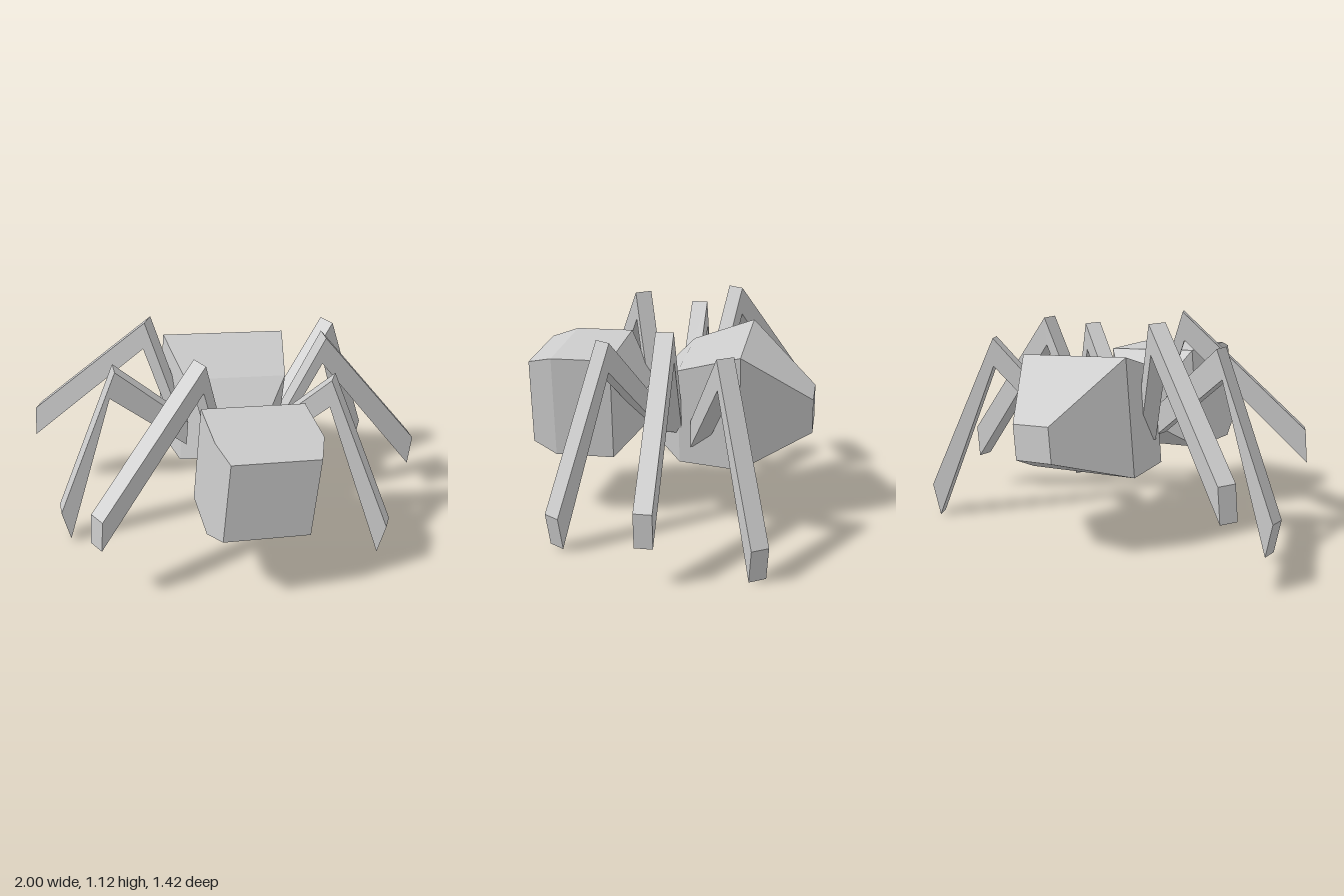
import * as THREE from 'three';

const material = new THREE.MeshStandardMaterial({
  color: 0xcccccc, flatShading: true, side: THREE.DoubleSide,
});

// Closed box-like hull through rectangles [z, halfWidth, bottom, top], back to front
function loftRectangles(sections) {
  const points = [];
  const index = [];
  for (const [z, w, lo, hi] of sections) {
    points.push(-w, lo, z, w, lo, z, w, hi, z, -w, hi, z);
  }
  const last = (sections.length - 1) * 4;
  for (let s = 0; s < last; s += 4) {
    for (let i = 0; i < 4; i++) {
      const j = (i + 1) % 4;
      const a = s + i, b = s + j, c = s + 4 + j, d = s + 4 + i;
      index.push(a, b, c, a, c, d);
    }
  }
  index.push(0, 2, 1, 0, 3, 2);
  index.push(last, last + 1, last + 2, last, last + 2, last + 3);
  const indexed = new THREE.BufferGeometry();
  indexed.setAttribute('position', new THREE.Float32BufferAttribute(points, 3));
  indexed.setIndex(index);
  const geometry = indexed.toNonIndexed();
  geometry.computeVertexNormals();
  return geometry;
}

// Bent square leg: [distance, height] of the top edge at root, knee and foot
function legGeometry(root, knee, foot) {
  const width = 0.086;
  const tilt = (0.49 - knee[1]) * 0.35; // lower knees swing the foot inwards
  const outline = [
    root, knee, foot,
    [foot[0] - tilt, foot[1] - 0.168],
    [knee[0] + tilt * 0.4, knee[1] - 0.145],
    [root[0], root[1] - 0.135],
  ];
  const shape = new THREE.Shape(outline.map(([r, y]) => new THREE.Vector2(r, y)));
  const geometry = new THREE.ExtrudeGeometry(shape, { depth: width, bevelEnabled: false });
  geometry.translate(0, 0, -width / 2);
  return geometry;
}

export function createModel() {
  const model = new THREE.Group();
  model.name = 'spider';

  // Whole body leans slightly to its left about its centre
  const body = new THREE.Group();
  body.name = 'leaningBody';
  body.position.y = 0.6;
  body.rotation.z = -0.09;
  model.add(body);

  const add = (name, geometry) => {
    const mesh = new THREE.Mesh(geometry, material);
    mesh.name = name;
    body.add(mesh);
    return mesh;
  };

  // Head: chamfered front, narrowing to the waist
  add('head', loftRectangles([
    [0.14, 0.11, -0.107, 0.068],
    [0.28, 0.26, -0.237, 0.278],
    [0.58, 0.26, -0.237, 0.278],
    [0.71, 0.215, -0.19, 0.242],
  ]));

  // Abdomen: swells towards the back, then tapers to a small end
  add('abdomen', loftRectangles([
    [-0.71, 0.11, -0.107, 0.068],
    [-0.37, 0.323, -0.237, 0.342],
    [-0.06, 0.262, -0.237, 0.245],
    [0.14, 0.11, -0.107, 0.068],
  ]));

  // Legs: name, yaw in degrees, z of the hip line, root, knee, foot
  const legs = [
    ['leftFrontLeg', -30, 0.055, [0.15, 0.07], [0.447, 0.42], [0.842, -0.347]],
    ['rightFrontLeg', 210, 0.06, [0.15, 0.07], [0.306, 0.49], [0.895, -0.15]],
    ['leftMiddleLeg', 0, -0.03, [0.25, 0.05], [0.428, 0.49], [1.02, -0.144]],
    ['rightMiddleLeg', 180, -0.03, [0.25, 0.037], [0.633, 0.344], [0.89, -0.482]],
    ['leftBackLeg', 30, -0.008, [0.3, -0.01], [0.64, 0.419], [1.043, -0.343]],
    ['rightBackLeg', 150, -0.008, [0.3, 0.03], [0.5, 0.488], [1.1, -0.156]],
  ];
  for (const [name, yaw, z, root, knee, foot] of legs) {
    const leg = add(name, legGeometry(root, knee, foot));
    leg.position.z = z;
    leg.rotation.y = THREE.MathUtils.degToRad(yaw);
  }

  return model;
}
